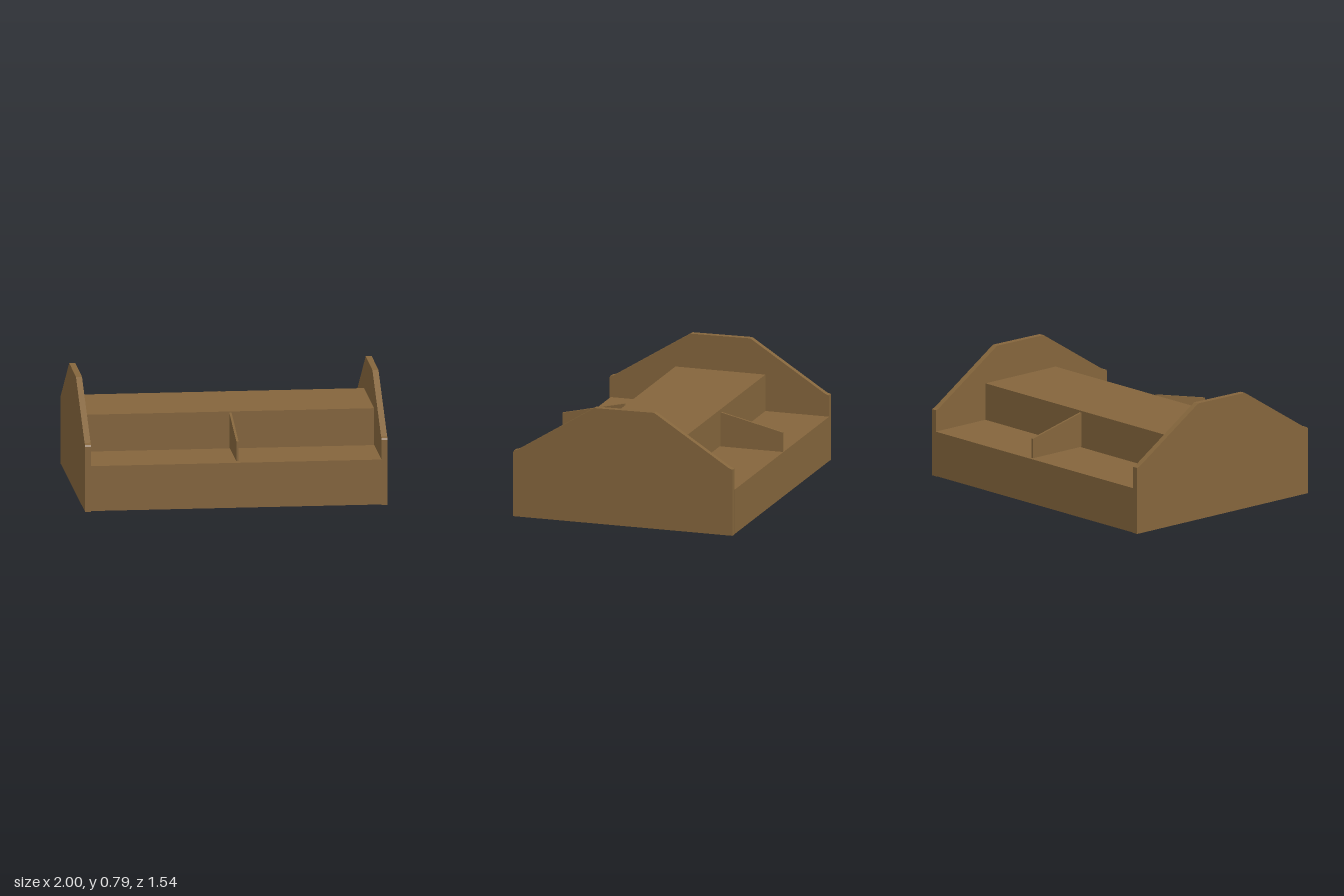
import * as THREE from 'three';

// Extrudes a [z, y] outline along x, starting at x0
function slab(name, outline, x0, width, material) {
  const shape = new THREE.Shape(outline.map(([z, y]) => new THREE.Vector2(-z, y)));
  const geometry = new THREE.ExtrudeGeometry(shape, { depth: width, bevelEnabled: false });
  geometry.rotateY(Math.PI / 2); // shape x becomes -z, depth becomes +x
  geometry.translate(x0, 0, 0);
  const mesh = new THREE.Mesh(geometry, material);
  mesh.name = name;
  return mesh;
}

export function createModel() {
  const group = new THREE.Group();
  group.name = 'tray';
  const wood = new THREE.MeshStandardMaterial({ color: 0x84653c });
  wood.name = 'brown wood';

  // Stepped body: two low shelves with a raised middle
  group.add(slab('steppedBody', [
    [0.76, 0.003], [0.76, 0.305], [0.31, 0.305], [0.31, 0.553],
    [-0.315, 0.553], [-0.315, 0.305], [-0.757, 0.305], [-0.757, 0.003],
  ], -0.96, 1.92, wood));

  // End panels with sloping shoulders
  const end = [
    [0.768, 0], [0.768, 0.437], [0.762, 0.449], [0.733, 0.457], [0.205, 0.786],
    [-0.21, 0.79], [-0.73, 0.458], [-0.755, 0.45], [-0.755, 0],
  ];
  group.add(slab('leftEndPanel', end, 0.96, 0.04, wood));
  group.add(slab('rightEndPanel', end, -1, 0.04, wood));

  // Thin sloping dividers on the shelves
  group.add(slab('frontDivider', [
    [0.763, 0.318], [0.763, 0.45], [0.33, 0.55], [0.33, 0.318],
  ], 0, 0.015, wood));
  group.add(slab('backDivider', [
    [-0.768, 0.318], [-0.768, 0.45], [-0.337, 0.55], [-0.337, 0.318],
  ], 0, 0.015, wood));

  return group;
}
